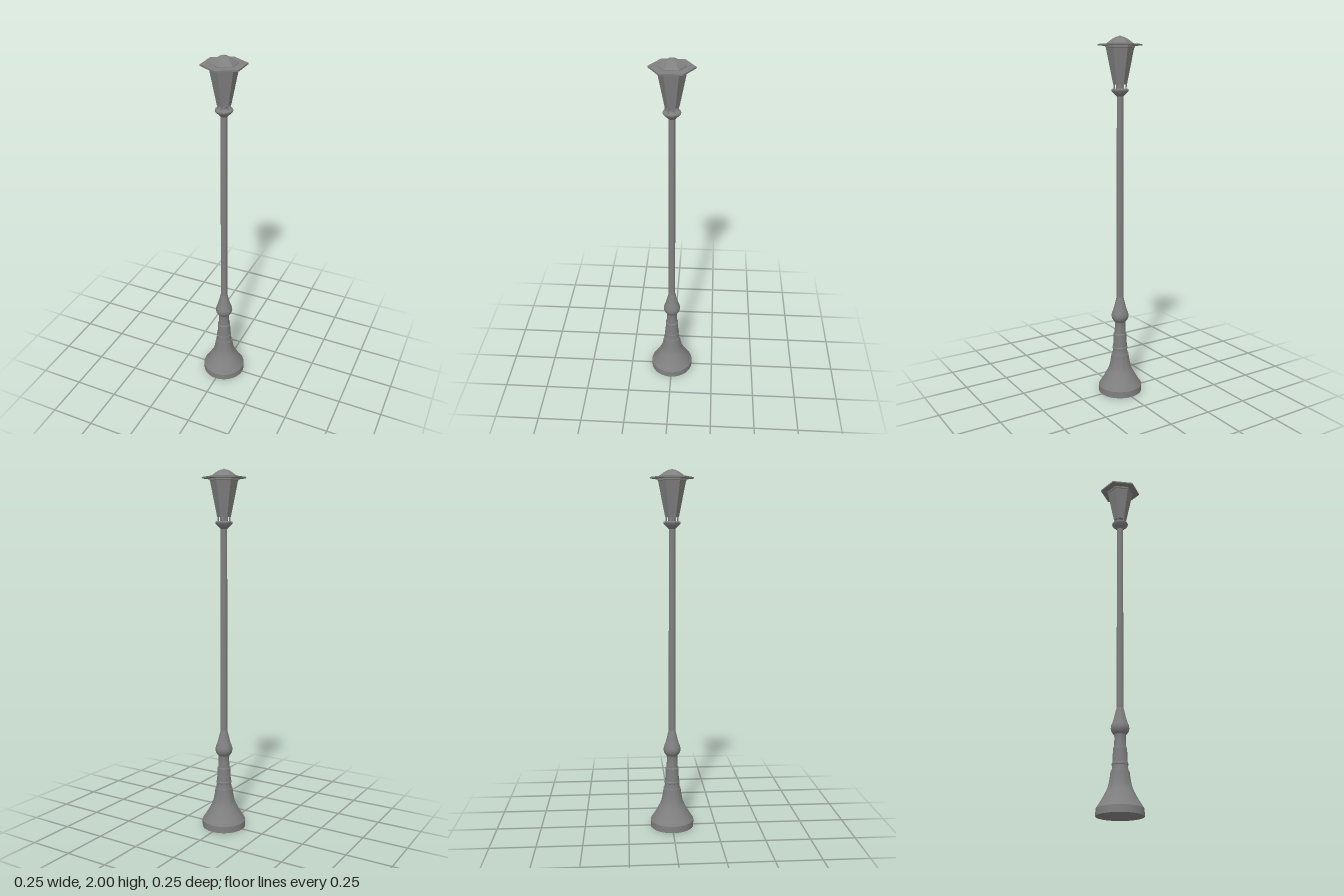
import * as THREE from 'three';
import { toCreasedNormals } from 'three/addons/utils/BufferGeometryUtils.js';

const iron = new THREE.MeshStandardMaterial({ color: 0x808080, side: THREE.DoubleSide });

// Revolve [radius, height] pairs, listed bottom to top; six sides gives the hexagonal parts
function turned(name, profile, sides = 40) {
  const points = profile.map(([r, y]) => new THREE.Vector2(r, y));
  const mesh = new THREE.Mesh(toCreasedNormals(new THREE.LatheGeometry(points, sides), 0.5), iron);
  mesh.name = name;
  return mesh;
}

export function createModel() {
  const lamp = new THREE.Group();
  lamp.name = 'streetLamp';

  // Plinth and flared foot
  lamp.add(turned('base', [
    [0, 0], [0.123, 0], [0.123, 0.037], [0.118, 0.045], [0.102, 0.07], [0.087, 0.095],
    [0.077, 0.115], [0.071, 0.125], [0.061, 0.15], [0.055, 0.18], [0.051, 0.205], [0.049, 0.225], [0, 0.225],
  ]));

  // Stepped and ringed lower column
  lamp.add(turned('lowerColumn', [
    [0, 0.225], [0.045, 0.225], [0.042, 0.24], [0.041, 0.257], [0.043, 0.259], [0.043, 0.266],
    [0.04, 0.269], [0.038, 0.3], [0.037, 0.338], [0.037, 0.345], [0.033, 0.348],
    [0.03, 0.38], [0.03, 0.41], [0.032, 0.42],
  ]));

  // Bulb tapering into the pole
  lamp.add(turned('bulb', [
    [0.031, 0.418], [0.037, 0.424], [0.045, 0.436], [0.049, 0.452], [0.046, 0.47], [0.038, 0.49],
    [0.031, 0.515], [0.024, 0.545], [0.019, 0.565],
  ]));
  lamp.add(turned('pole', [[0.019, 0.56], [0.0175, 1.69]], 32));

  // Cup carrying the lantern
  lamp.add(turned('cup', [
    [0.017, 1.685], [0.023, 1.69], [0.035, 1.702], [0.045, 1.712], [0.047, 1.718],
    [0.045, 1.724], [0.035, 1.727], [0, 1.727],
  ]));

  // Small posts between cup and lantern, around a central stem
  lamp.add(turned('stem', [[0.014, 1.725], [0.014, 1.755]], 16));
  const posts = new THREE.Group();
  posts.name = 'lanternPosts';
  for (let i = 0; i < 6; i++) {
    const a = i * Math.PI / 3;
    const post = new THREE.Mesh(new THREE.CylinderGeometry(0.004, 0.004, 0.03, 8), iron);
    post.name = 'lanternPost';
    post.position.set(0.032 * Math.sin(a), 1.738, 0.032 * Math.cos(a));
    posts.add(post);
  }
  lamp.add(posts);

  // Hexagonal lantern body with top rim
  lamp.add(turned('lantern', [
    [0, 1.748], [0.037, 1.748], [0.075, 1.938], [0.078, 1.94], [0.078, 1.951], [0, 1.951],
  ], 6));

  // Wide flat brim and domed hexagonal cap
  lamp.add(turned('brim', [
    [0, 1.95], [0.118, 1.95], [0.119, 1.953], [0.118, 1.958], [0, 1.958],
  ], 6));
  lamp.add(turned('cap', [
    [0.073, 1.957], [0.072, 1.962], [0.056, 1.974], [0.039, 1.986], [0.022, 1.994], [0.012, 1.997], [0, 1.998],
  ], 6));
  lamp.add(turned('finial', [[0.006, 1.994], [0.006, 1.999], [0.004, 2], [0, 2]], 12));

  return lamp;
}
